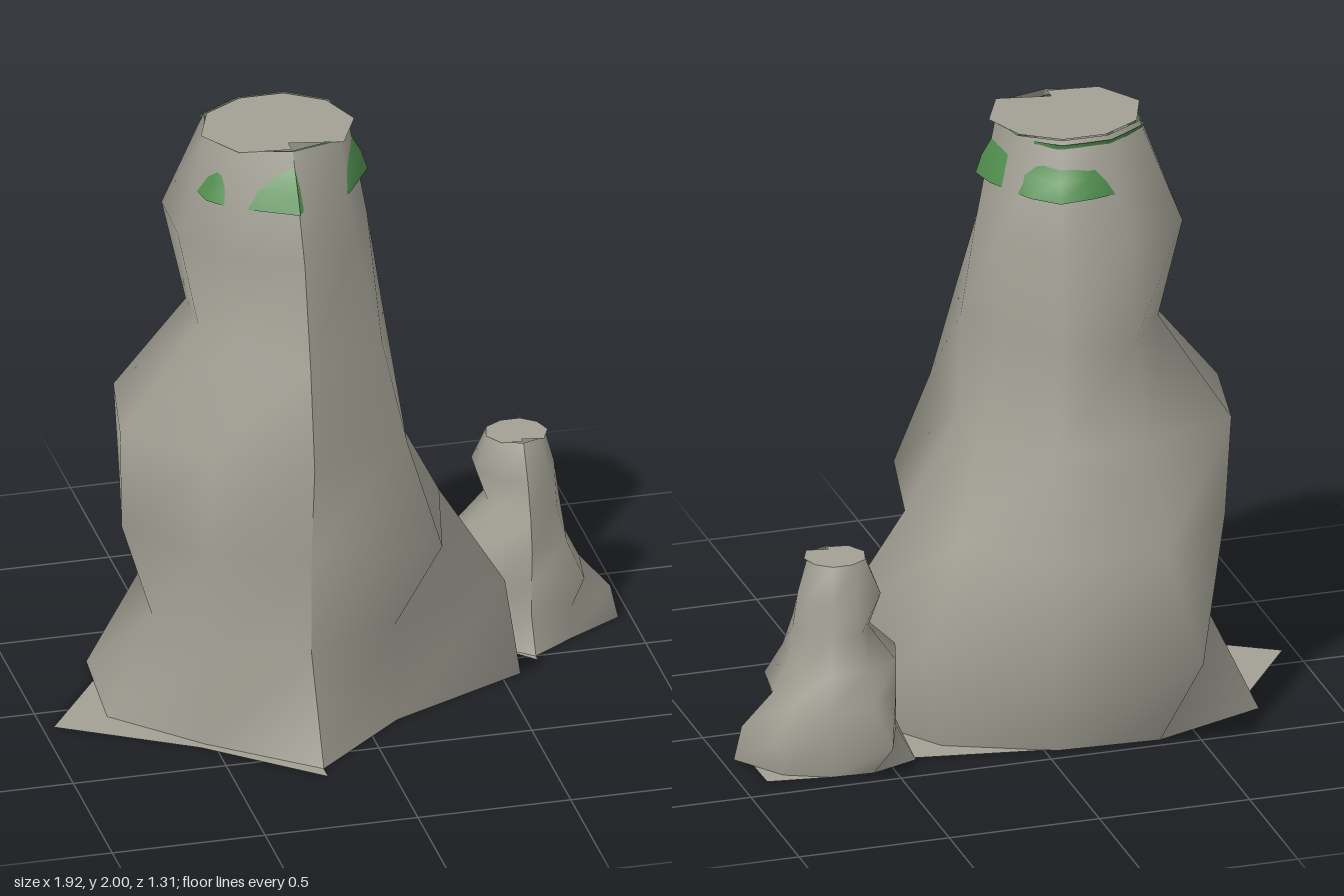
import * as THREE from 'three';

const SIDES = 9, SQUASH = 0.935;

// Radii around each ring, base ring first, starting at the front seam
const TALL = [
  [.66, .48, .78, .58, .48, .50, .63, .585, .50],
  [.49, .47, .73, .655, .55, .73, .46, .43, .535],
  [.49, .66, .52, .50, .54, .54, .52, .535, .49],
  [.535, .52, .35, .40, .42, .44, .54, .54, .46],
  [.48, .42, .34, .31, .37, .37, .30, .27, .28],
  [.40, .32, .29, .33, .35, .35, .38, .34, .37],
  [.235, .25, .23, .23, .22, .22, .24, .24, .25],
];
const SMALL = [
  [.27, .22, .325, .24, .20, .21, .265, .215, .20],
  [.21, .22, .30, .275, .20, .31, .20, .20, .20],
  [.21, .27, .20, .19, .23, .21, .20, .215, .20],
  [.22, .20, .145, .165, .18, .18, .20, .215, .18],
  [.20, .16, .135, .13, .14, .14, .11, .10, .11],
  [.16, .13, .12, .13, .135, .13, .15, .14, .145],
  [.10, .10, .09, .09, .09, .09, .10, .10, .10],
];

const place = (pos, i, turn, r, y) => {
  const a = turn * Math.PI * 2;
  pos.setXYZ(i, Math.sin(a) * r, y, Math.cos(a) * r * SQUASH);
};

// Open tube whose rings follow the given radii and heights
function shell(rings, heights, sides = SIDES) {
  const rows = rings.length - 1;
  const geo = new THREE.CylinderGeometry(1, 1, 1, sides, rows, true);
  const pos = geo.attributes.position;
  for (let k = 0; k <= rows; k++) {
    const ring = rings[rows - k];
    for (let c = 0; c <= sides; c++)
      place(pos, k * (sides + 1) + c, c / sides, ring[c % ring.length], heights[rows - k]);
  }
  geo.computeVertexNormals();
  return geo;
}

// Flat fan with an uneven rim
function cap(radii, y) {
  const geo = new THREE.CircleGeometry(1, SIDES);
  const pos = geo.attributes.position;
  pos.setXYZ(0, 0, y, 0);
  radii.forEach((r, c) => place(pos, c + 1, c / SIDES, r, y));
  geo.computeVertexNormals();
  return geo;
}

function pillar(name, rings, height, baseRim, topRim, material) {
  const g = new THREE.Group();
  g.name = name;
  const add = (part, geo) => {
    const m = new THREE.Mesh(geo, material);
    m.name = part;
    g.add(m);
  };
  add('rockBody', shell(rings, rings.map((_, k) => k / 6 * height)));
  add('rockBase', cap(baseRim, 0));
  add('rockTop', cap(topRim, height));
  return g;
}

// Radius of the tall pillar's upper facets at half-column steps
function stoneAt(y, half) {
  const at = c => THREE.MathUtils.lerp(TALL[5][c % SIDES], TALL[6][c % SIDES], (y - 5 / 3) * 3);
  const a = at(Math.floor(half / 2)), b = at(Math.ceil(half / 2));
  return half % 2 ? 2 * a * b * Math.cos(Math.PI / SIDES) / (a + b) : a;
}

export function createModel() {
  const model = new THREE.Group();
  model.name = 'rockPillars';
  const stone = new THREE.MeshStandardMaterial({ color: 0xa3a195, side: THREE.DoubleSide });
  stone.name = 'stone';
  const moss = new THREE.MeshStandardMaterial({ color: 0x4f8c4c, side: THREE.DoubleSide });
  moss.name = 'moss';

  const tall = pillar('tallPillar', TALL, 2,
    [.60, .48, .70, .72, .47, .50, .56, .77, .53, .72],
    [.17, .27, .25, .22, .21, .21, .23, .26, .26, .22], stone);
  tall.position.set(-0.205, 0, -0.02);

  const small = pillar('smallPillar', SMALL, 0.68,
    [.25, .20, .28, .315, .20, .21, .24, .215, .20, .30],
    [.07, .11, .10, .09, .09, .09, .10, .105, .105, .09], stone);
  small.position.set(0.64, 0, -0.25);

  // Moss band near the top: it breaks through the stone only in patches
  const heights = [1.82, 1.88, 1.95, 1.99];
  const offsets = [
    [.007, -.010, .002, .016, .030, .018, -.020, .020, .030, .018, -.004, -.03, -.03, -.03, -.008, .018, -.012, .000, .018],
    [.005, -.012, -.004, .010, .022, .012, -.020, .010, .016, .008, -.010, -.03, -.03, -.03, -.016, .008, -.014, -.004, .014],
    [.000, -.02, -.03, -.012, -.006, -.012, -.02, -.02, -.02, -.02, -.02, -.02, -.03, -.02, -.02, -.02, -.03, -.02, .000],
    [-.03, -.03, -.03, -.03, -.03, -.03, -.02, .006, .014, .014, .014, .014, .010, -.01, -.03, -.03, -.03, -.03, -.03],
  ];
  const band = new THREE.Mesh(
    shell(offsets.map((o, k) => o.map((d, h) => stoneAt(heights[k], h) + d)), heights, SIDES * 2), moss);
  band.name = 'mossPatches';
  tall.add(band);

  model.add(tall, small);
  return model;
}
